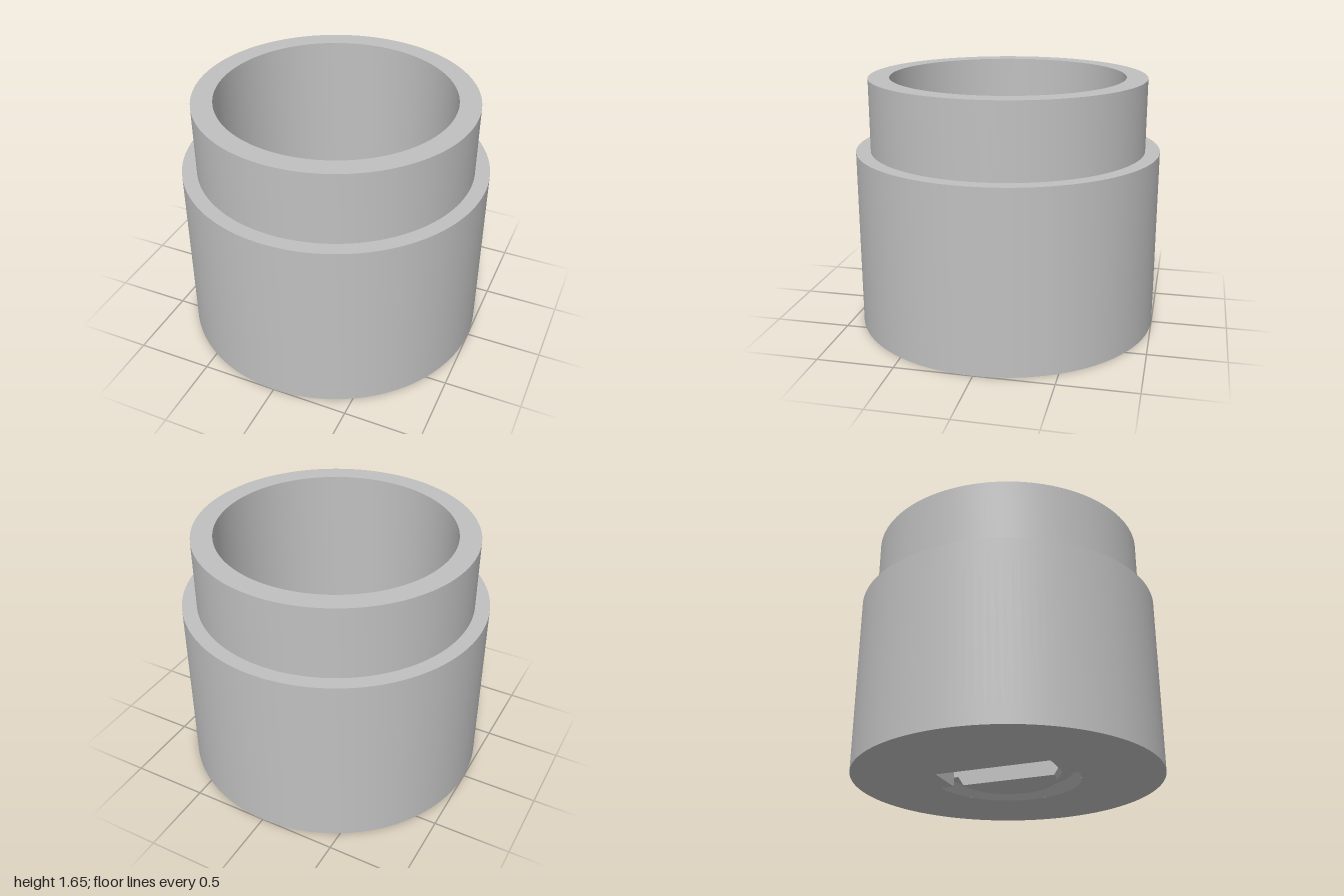
import * as THREE from 'three';
import { toCreasedNormals } from 'three/addons/utils/BufferGeometryUtils.js';

const FLOOR = 0.35;                    // thickness of the cup floor
const SLOT_X = -0.275, SLOT_Z = 0.38;  // slot runs from SLOT_X to 0, and +-SLOT_Z
const GROOVE = [[0.31, 0], [0.35, 0.06], [0.42, 0.06], [0.47, 0]]; // radius, height

const shapeOf = (pts) => new THREE.Shape(pts.map(([x, y]) => new THREE.Vector2(x, y)));

export function createModel() {
  const group = new THREE.Group();
  const grey = new THREE.MeshStandardMaterial({ color: 0xc0c0c0 });
  grey.name = 'grey';

  const add = (name, geometry) => {
    const mesh = new THREE.Mesh(geometry, grey);
    mesh.name = name;
    group.add(mesh);
    return mesh;
  };
  const lathe = (pts, segments, length) => toCreasedNormals(
    new THREE.LatheGeometry(pts.map(([r, y]) => new THREE.Vector2(r, y)), segments, 0, length), 0.5);

  // Stepped outer wall, rim and cavity wall
  add('cupWall', lathe([[1, 0], [1, 1.18], [0.905, 1.18], [0.905, 1.655],
    [0.768, 1.655], [0.768, FLOOR]], 128, Math.PI * 2));

  // Cavity floor with the slot cut through
  const floor = new THREE.Shape().absarc(0, 0, 0.768, 0, Math.PI * 2);
  floor.holes.push(shapeOf([[SLOT_X, -SLOT_Z], [SLOT_X, SLOT_Z], [0, SLOT_Z], [0, -SLOT_Z]]));
  add('cavityFloor', new THREE.ShapeGeometry(floor, 64).rotateX(-Math.PI / 2).translate(0, FLOOR, 0));

  // Underside, open at the slot and the half-ring groove
  const base = new THREE.Shape().absarc(0, 0, 1, 0, Math.PI * 2);
  const opening = new THREE.Path().absarc(0, 0, 0.47, -Math.PI / 2, Math.PI / 2);
  opening.lineTo(0, SLOT_Z).lineTo(SLOT_X, SLOT_Z).lineTo(SLOT_X, -SLOT_Z).lineTo(0, -SLOT_Z);
  opening.closePath();
  base.holes.push(opening);
  add('underside', new THREE.ShapeGeometry(base, 64).rotateX(Math.PI / 2));

  // Half disc left standing inside the groove
  const island = new THREE.Shape().absarc(0, 0, GROOVE[0][0], -Math.PI / 2, Math.PI / 2);
  add('grooveIsland', new THREE.ShapeGeometry(island, 32).rotateX(Math.PI / 2));

  // Half-ring groove with sloping sides, and its end faces beyond the slot
  add('groove', lathe(GROOVE, 64, Math.PI));
  for (const s of [1, -1]) {
    const end = shapeOf([[s * SLOT_Z, 0], [s * 0.47, 0], [s * 0.42, 0.06], [s * SLOT_Z, 0.06]]);
    add('grooveEnd', new THREE.ShapeGeometry(end).rotateY(Math.PI / 2));
  }

  // Slot walls; the one at x = 0 is notched where the groove breaks through
  const notched = shapeOf([[-SLOT_Z, 0.06], [-0.35, 0.06], [-0.31, 0], [0.31, 0],
    [0.35, 0.06], [SLOT_Z, 0.06], [SLOT_Z, FLOOR], [-SLOT_Z, FLOOR]]);
  add('slotNotchedWall', new THREE.ShapeGeometry(notched).rotateY(-Math.PI / 2));
  add('slotSideWall', new THREE.PlaneGeometry(SLOT_Z * 2, FLOOR).rotateY(Math.PI / 2)
    .translate(SLOT_X, FLOOR / 2, 0));
  for (const s of [1, -1]) {
    add('slotEndWall', new THREE.PlaneGeometry(-SLOT_X, FLOOR).rotateY(s > 0 ? Math.PI : 0)
      .translate(SLOT_X / 2, FLOOR / 2, s * SLOT_Z));
  }
  return group;
}
